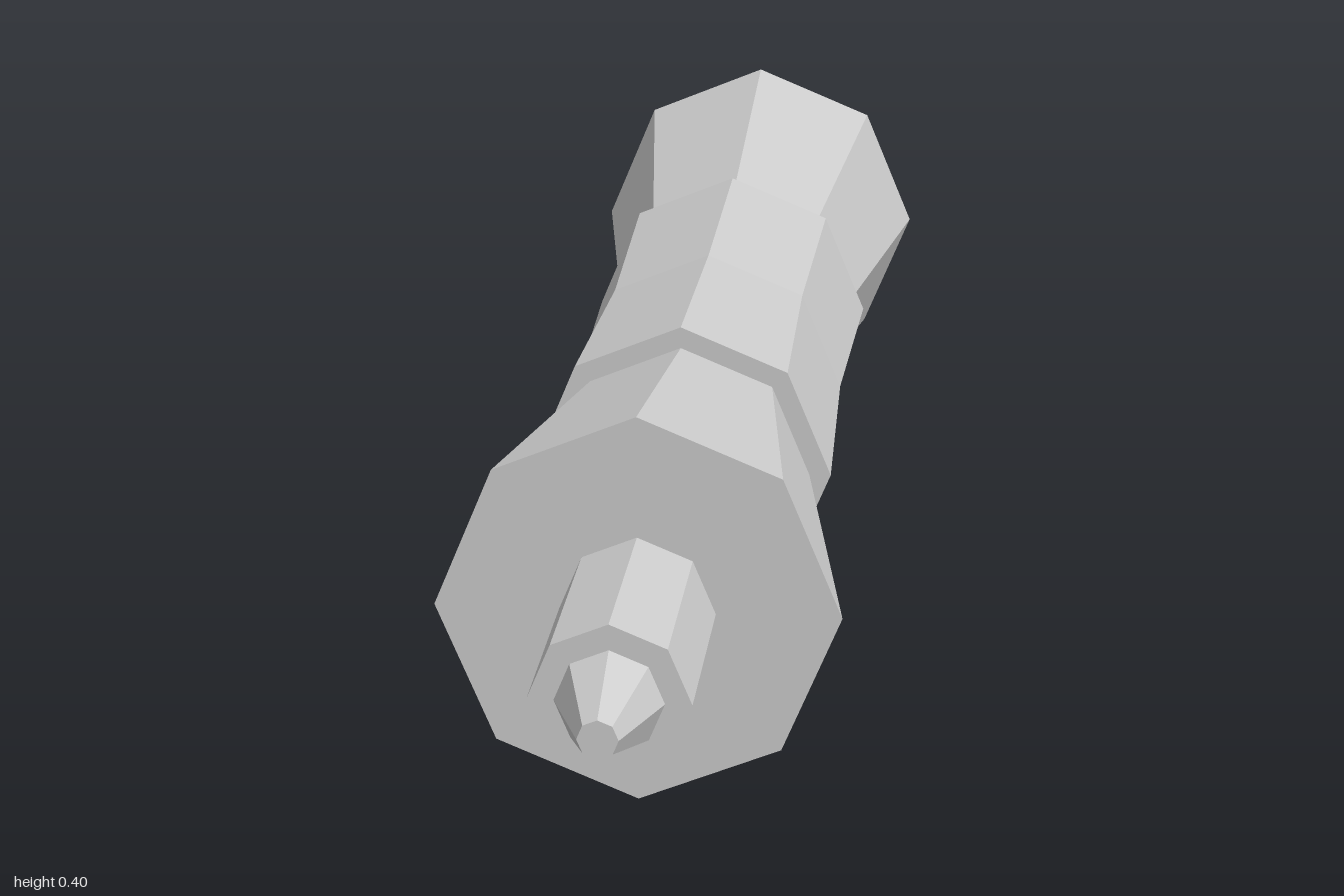
import * as THREE from 'three';

const AXIS_HEIGHT = 0.198;
const SIDES = 8;

// Faceted octagonal solid along z from [radius, z] pairs, z increasing
function turned(name, profile, material) {
  const points = profile.map(([r, z]) => new THREE.Vector2(r, z));
  const geometry = new THREE.LatheGeometry(points, SIDES).rotateX(Math.PI / 2).toNonIndexed();
  geometry.computeVertexNormals();
  const mesh = new THREE.Mesh(geometry, material);
  mesh.name = name;
  return mesh;
}

export function createModel() {
  const metal = new THREE.MeshStandardMaterial({ color: 0xcccccc });
  metal.name = 'grey metal';

  const model = new THREE.Group();
  model.name = 'handle';

  // Central grip, slightly waisted in the middle
  model.add(turned('grip', [
    [0, -0.297], [0.16, -0.297], [0.151, 0], [0.16, 0.297], [0, 0.297],
  ], metal));

  // Matching ends: flared bell, shaft and tapered tip
  for (const side of ['front', 'back']) {
    const end = new THREE.Group();
    end.name = side + 'End';
    end.add(
      turned('bell', [[0, 0.29], [0.136, 0.29], [0.198, 0.697], [0, 0.697]], metal),
      turned('shaft', [[0, 0.69], [0.076, 0.69], [0.076, 0.916], [0, 0.916]], metal),
      turned('tip', [[0, 0.91], [0.051, 0.916], [0.019, 1], [0, 1]], metal),
    );
    if (side === 'back') end.rotation.y = Math.PI;
    model.add(end);
  }

  // Rest the bells on the ground
  for (const part of model.children) part.position.y = AXIS_HEIGHT;
  return model;
}
